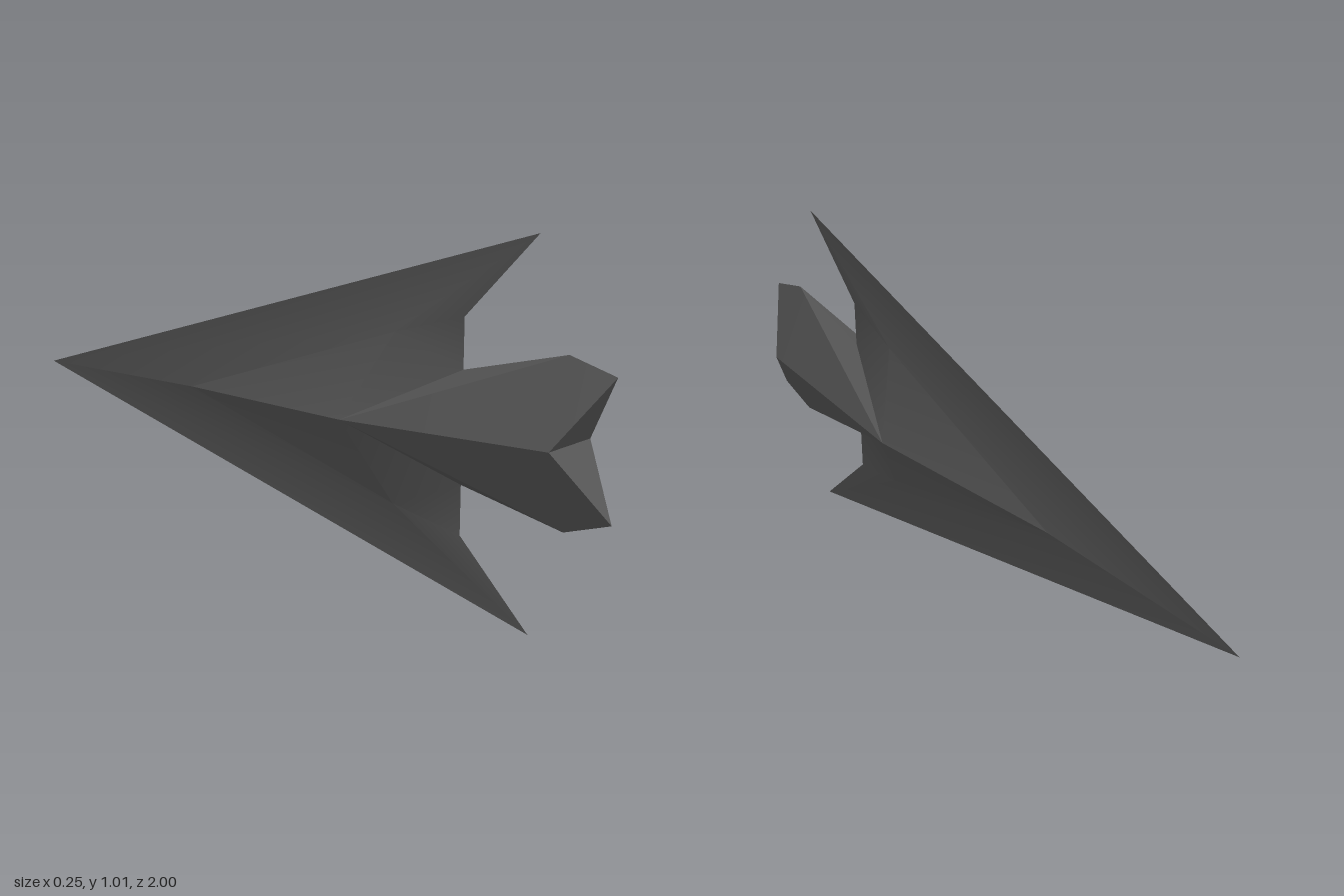
import * as THREE from 'three';
import { toCreasedNormals } from 'three/addons/utils/BufferGeometryUtils.js';

// Corner points of one quarter (+x, upper), measured from the long axis
const P = {
  tip: [0, 0, -1],
  ridge: [0.035, 0, -0.35],
  shoulder: [0.125, 0, 0.27],
  bevel: [0.02, 0.23, 0.37],
  barb: [0, 0.505, 0.78],
  barbRoot: [0, 0.285, 0.57],
  socketRoot: [0, 0.15, 0.57],
  tailTop: [0, 0.22, 0.87],
  tailEnd: [0, 0.18, 1],
  tailSide: [0.1, 0, 0.88],
  notch: [0, 0, 0.88],
};

// Mirrors a quarter's triangles into all four quarters
function mirrored(triangles) {
  const positions = [];
  for (const sx of [1, -1]) {
    for (const sy of [1, -1]) {
      for (const [a, b, c] of triangles) {
        const order = sx * sy > 0 ? [a, b, c] : [a, c, b];
        for (const key of order) {
          const [x, y, z] = P[key];
          positions.push(x * sx, y * sy, z);
        }
      }
    }
  }
  const geometry = new THREE.BufferGeometry();
  geometry.setAttribute('position', new THREE.Float32BufferAttribute(positions, 3));
  geometry.computeVertexNormals();
  return toCreasedNormals(geometry, 0.6);
}

export function createModel() {
  const group = new THREE.Group();
  group.name = 'arrowhead';
  const darkMetal = new THREE.MeshStandardMaterial({ color: 0x555555 });
  darkMetal.name = 'dark metal';

  // Barbed blade with a bevel and a hollowed rear
  const blade = new THREE.Mesh(mirrored([
    ['tip', 'bevel', 'ridge'],
    ['tip', 'barb', 'bevel'],
    ['ridge', 'bevel', 'shoulder'],
    ['shoulder', 'bevel', 'socketRoot'],
    ['socketRoot', 'bevel', 'barbRoot'],
    ['bevel', 'barb', 'barbRoot'],
  ]), darkMetal);
  blade.name = 'blade';

  // Diamond-section tail flaring to a notched end
  const tail = new THREE.Mesh(mirrored([
    ['shoulder', 'socketRoot', 'tailTop'],
    ['shoulder', 'tailTop', 'tailSide'],
    ['tailSide', 'tailTop', 'tailEnd'],
    ['tailSide', 'tailEnd', 'notch'],
  ]), darkMetal);
  tail.name = 'tail';

  group.add(blade, tail);
  for (const part of group.children) part.position.y = P.barb[1];
  return group;
}
